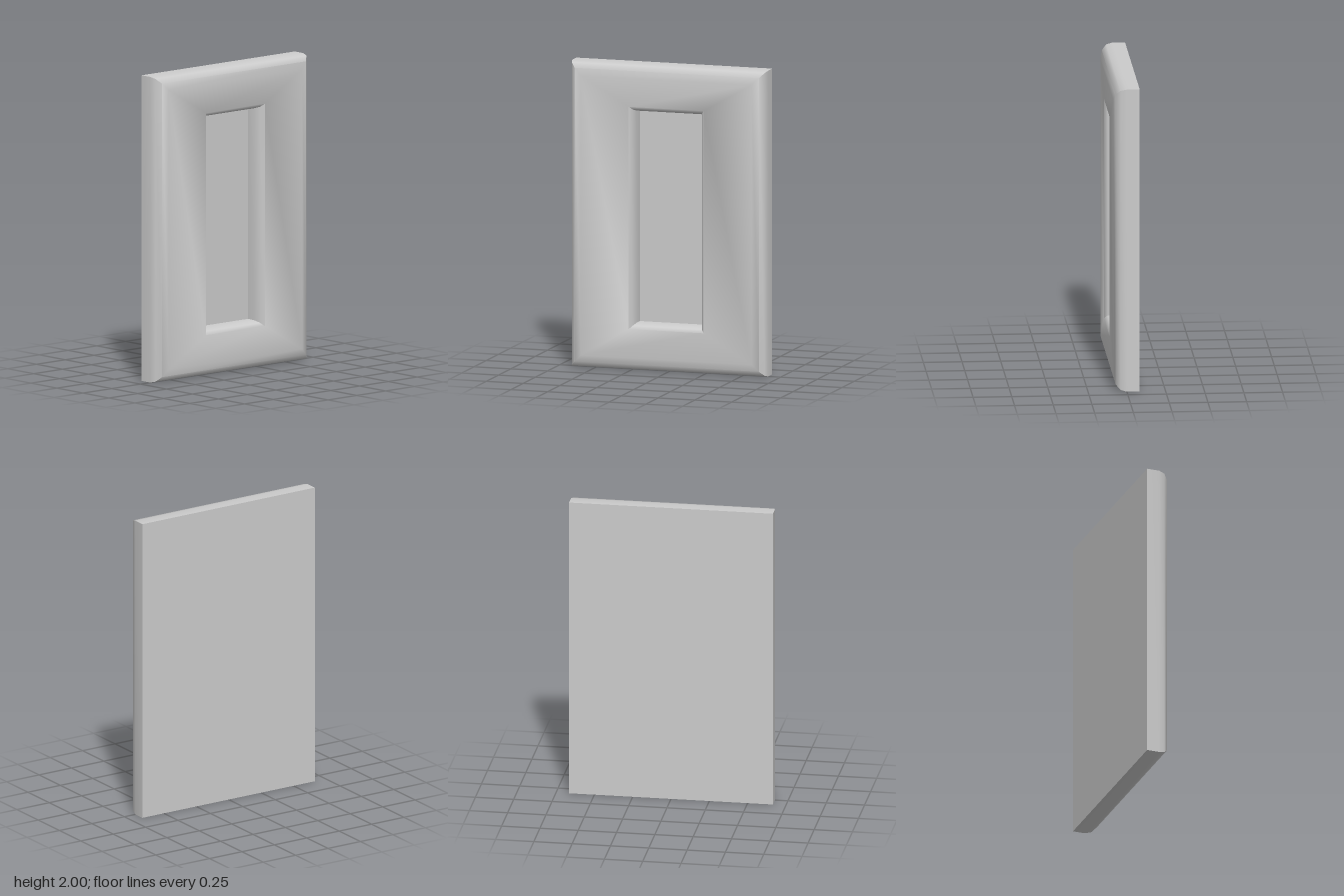
import * as THREE from 'three';
import { toCreasedNormals } from 'three/addons/utils/BufferGeometryUtils.js';

// Rectangular loop of four corners, counter-clockwise from the front
const loop = ([hx, hy, z]) => [[-hx, 1 - hy, z], [hx, 1 - hy, z], [hx, 1 + hy, z], [-hx, 1 + hy, z]];

// Mitred surface joining a series of rectangles given as [halfWidth, halfHeight, z]
function mitred(rings, capLast = false, capFirst = false) {
  const pos = [];
  const quad = (a, b, c, d) => pos.push(...a, ...b, ...c, ...a, ...c, ...d);
  for (let r = 0; r < rings.length - 1; r++) {
    const o = loop(rings[r]), n = loop(rings[r + 1]);
    for (let i = 0; i < 4; i++) {
      const j = (i + 1) % 4;
      quad(o[i], o[j], n[j], n[i]);
    }
  }
  if (capLast) quad(...loop(rings[rings.length - 1]));
  if (capFirst) quad(...loop(rings[0]).reverse());
  const geometry = new THREE.BufferGeometry();
  geometry.setAttribute('position', new THREE.Float32BufferAttribute(pos, 3));
  return toCreasedNormals(geometry, THREE.MathUtils.degToRad(50));
}

export function createModel() {
  const group = new THREE.Group();
  group.name = 'cabinetDoor';
  const material = new THREE.MeshStandardMaterial({ color: 0xcccccc });

  // Flat back, straight edges, rounded front edge, frame face and recessed panel
  const W = 0.665, H = 1, F = 0.083;
  const edge = [[0, -F], [0, 0], [0.01, 0.04], [0.04, 0.07], [0.085, F]]
    .map(([inset, z]) => [W - inset, H - inset, z]);
  const recess = [[0, F], [0.02, 0.06], [0.033, 0.02], [0.035, -0.04]]
    .map(([inset, z]) => [0.255 - inset, 0.727 - inset, z]);

  const door = new THREE.Mesh(mitred([...edge, ...recess], true, true), material);
  door.name = 'doorPanel';
  group.add(door);
  return group;
}
